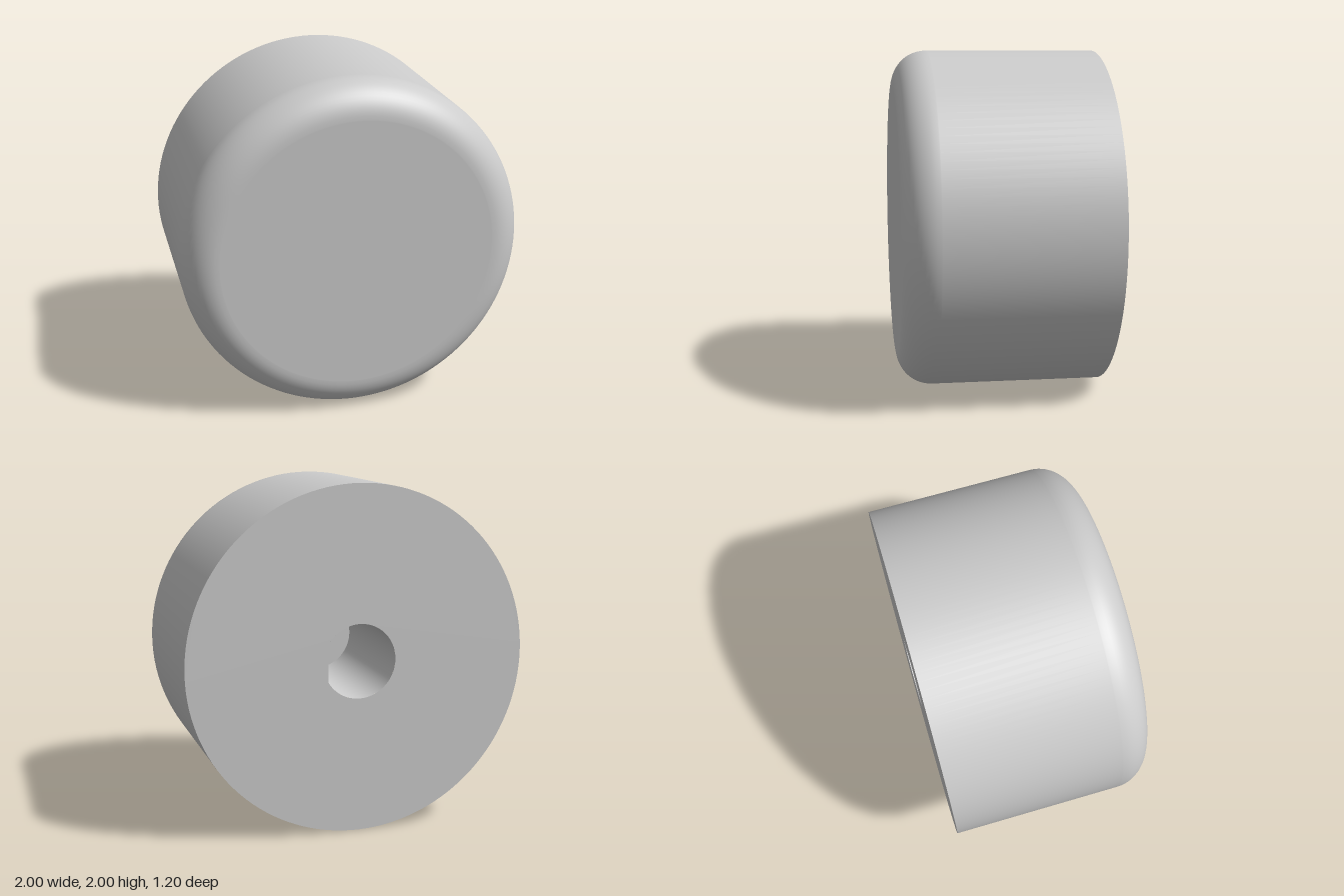
import * as THREE from 'three';

const R = 1, FRONT = 0.6, BACK = -0.6, FILLET = 0.2;
const BORE_R = 0.215, BORE_FLAT = 0.185, BORE_DEPTH = 0.8;
const GAP = Math.acos(BORE_FLAT / BORE_R); // half angle cut away by the flat

// D outline of the shaft hole, drawn mirrored because back faces are turned around
function boreOutline(PathType) {
  const path = new PathType();
  path.absarc(0, 0, BORE_R, -Math.PI + GAP, Math.PI - GAP, false);
  path.closePath();
  return path;
}

export function createModel() {
  const group = new THREE.Group();
  const material = new THREE.MeshStandardMaterial({ color: 0xcccccc });
  const inner = new THREE.MeshStandardMaterial({ color: 0xcccccc, side: THREE.DoubleSide });
  const add = (name, geometry, mat = material) => {
    const mesh = new THREE.Mesh(geometry, mat);
    mesh.name = name;
    mesh.position.y = R;
    group.add(mesh);
  };

  // Knob side, rounded front edge and front face
  const profile = [new THREE.Vector2(R, BACK), new THREE.Vector2(R, FRONT - FILLET - 0.005)];
  for (let i = 0; i <= 14; i++) {
    const a = (i / 14) * Math.PI / 2;
    profile.push(new THREE.Vector2(R - FILLET + FILLET * Math.cos(a), FRONT - FILLET + FILLET * Math.sin(a)));
  }
  profile.push(new THREE.Vector2(R - FILLET - 0.005, FRONT), new THREE.Vector2(0, FRONT));
  add('knobBody', new THREE.LatheGeometry(profile, 128).rotateX(Math.PI / 2));

  // Flat back with the D-shaped opening
  const disc = new THREE.Shape();
  disc.absarc(0, 0, R, 0, Math.PI * 2, false);
  disc.holes.push(boreOutline(THREE.Path));
  add('backFace', new THREE.ShapeGeometry(disc, 64).rotateY(Math.PI).translate(0, 0, BACK));

  // Shaft hole: round wall, flat wall and floor
  const mid = BACK + BORE_DEPTH / 2;
  add('boreWall', new THREE.CylinderGeometry(BORE_R, BORE_R, BORE_DEPTH, 64, 1, true,
    Math.PI / 2 + GAP, Math.PI * 2 - 2 * GAP).rotateX(Math.PI / 2).translate(0, 0, mid), inner);
  add('boreFlat', new THREE.PlaneGeometry(BORE_DEPTH, 2 * BORE_R * Math.sin(GAP))
    .rotateY(-Math.PI / 2).translate(BORE_FLAT, 0, mid), inner);
  add('boreFloor', new THREE.ShapeGeometry(boreOutline(THREE.Shape), 64)
    .rotateY(Math.PI).translate(0, 0, BACK + BORE_DEPTH));

  return group;
}
